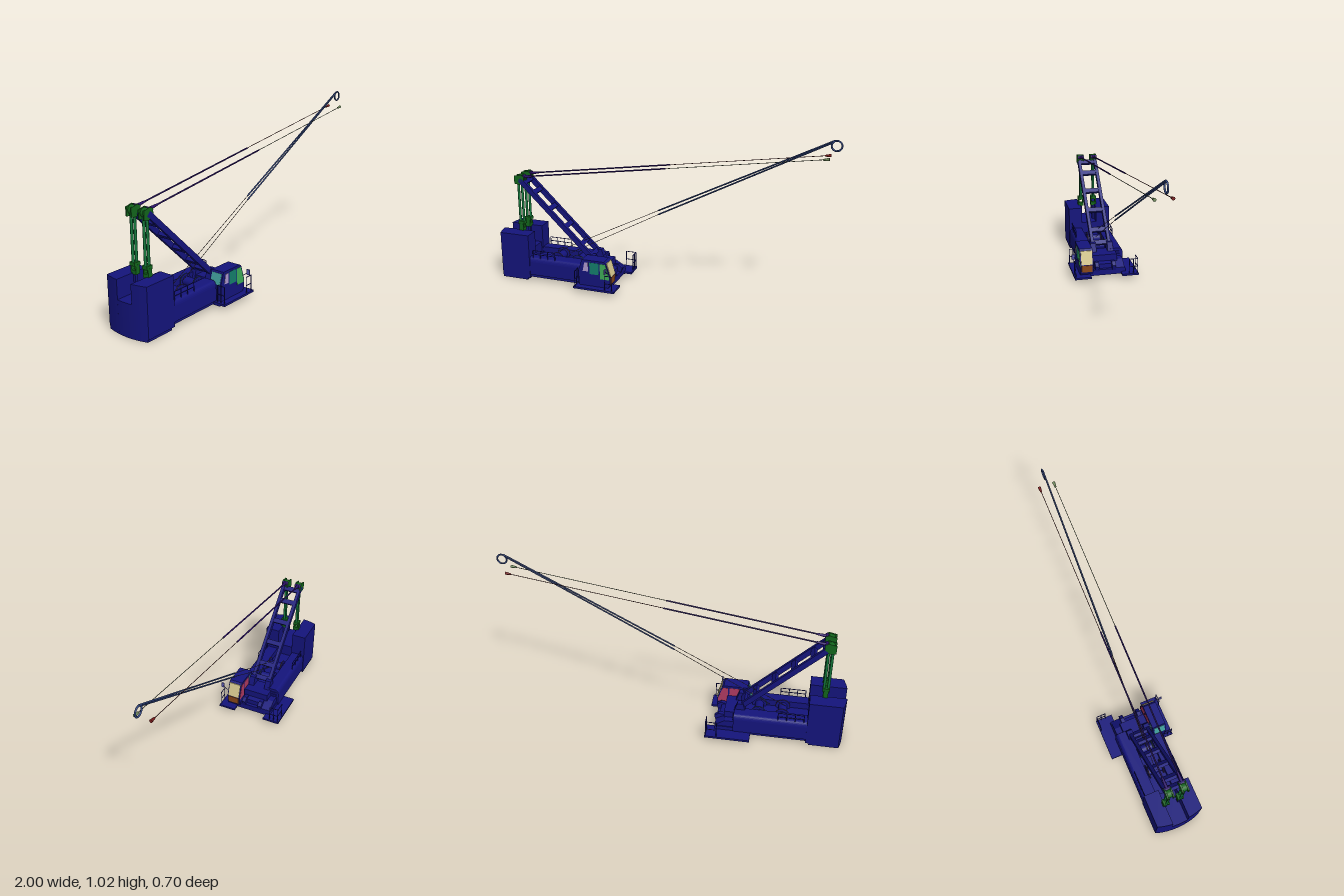
import * as THREE from 'three';

export function createModel() {
  const root = new THREE.Group();
  root.name = 'craneUpperworks';
  // Local frame: x runs forward along the machine, z across it.
  const m = new THREE.Group();
  m.name = 'slewedBody';
  m.rotation.y = THREE.MathUtils.degToRad(15);
  m.position.set(-0.05 * Math.sin(m.rotation.y), 0, -0.05 * Math.cos(m.rotation.y));
  root.add(m);

  const mats = {};
  const mat = (c) => (mats[c] ??= new THREE.MeshStandardMaterial({ color: c, flatShading: false, side: THREE.DoubleSide }));
  const NAVY = 0x14147c, GREEN = 0x12661c, POST = 0x147a3c, PURPLE = 0x2a0f6a, SLATE = 0x2f4580;
  const V = (x, y, z) => new THREE.Vector3(x, y, z);

  const add = (name, geo, color = NAVY) => {
    const mesh = new THREE.Mesh(geo, mat(color));
    mesh.name = name;
    m.add(mesh);
    return mesh;
  };
  // Box from its limits on each axis
  const box = (name, x0, x1, y0, y1, z0, z1, color) => {
    const b = add(name, new THREE.BoxGeometry(x1 - x0, y1 - y0, z1 - z0), color);
    b.position.set((x0 + x1) / 2, (y0 + y1) / 2, (z0 + z1) / 2);
    return b;
  };
  // Round rod between two points
  const rod = (name, a, b, r, color, r2 = r, sides = 8) => {
    const d = b.clone().sub(a);
    const c = add(name, new THREE.CylinderGeometry(r2, r, d.length(), sides), color);
    c.position.copy(a).add(b).multiplyScalar(0.5);
    c.quaternion.setFromUnitVectors(V(0, 1, 0), d.normalize());
    return c;
  };
  // Side profile (x, y) extruded across z0..z1
  const profile = (name, pts, z0, z1, color) => {
    const s = new THREE.Shape(pts.map((p) => new THREE.Vector2(...p)));
    const e = add(name, new THREE.ExtrudeGeometry(s, { depth: z1 - z0, bevelEnabled: false }), color);
    e.position.z = z0;
    return e;
  };
  // Guard rail: two end posts, a top rail and a middle rail
  const rail = (name, a, b, h, posts = 2) => {
    for (let i = 0; i < posts; i++) {
      const p = a.clone().lerp(b, i / (posts - 1));
      rod(name + 'Post', p, p.clone().setY(p.y + h), 0.0025);
    }
    for (const k of [0.5, 1]) rod(name + 'Bar', a.clone().setY(a.y + h * k), b.clone().setY(b.y + h * k), 0.0025);
  };

  // Counterweight: curved rear, low middle and two towers
  const rearX = (z) => -1.005 + 0.022 * (z / 0.138) ** 2;
  const weight = (name, z0, z1, y0, y1, front = -0.79) => {
    const pts = [[front, z0], [front, z1]];
    for (let i = 8; i >= 0; i--) {
      const z = z0 + ((z1 - z0) * i) / 8;
      pts.push([rearX(z), z]);
    }
    const s = new THREE.Shape(pts.map(([x, z]) => new THREE.Vector2(x, -z)));
    const e = add(name, new THREE.ExtrudeGeometry(s, { depth: y1 - y0, bevelEnabled: false }));
    e.rotation.x = -Math.PI / 2;
    e.position.y = y0;
  };
  weight('counterweightBase', -0.136, 0.136, 0, 0.03, -0.81);
  weight('counterweightMiddle', -0.06, 0.06, 0.03, 0.19, -0.8);
  for (const s of [-1, 1]) weight('counterweightTower', s < 0 ? -0.141 : 0.05, s < 0 ? -0.05 : 0.141, 0.015, 0.3);

  // Chassis and central deck
  box('chassis', -0.8, -0.25, 0.022, 0.06, -0.13, 0.13);
  profile('centreDeck', [[-0.8, 0.05], [-0.27, 0.05], [-0.27, 0.09], [-0.36, 0.115], [-0.8, 0.115]], -0.065, 0.065);
  box('frontBlock', -0.42, -0.3, 0.05, 0.14, -0.085, 0.075);

  // Machinery hoods with rounded outer top edges
  const hood = (side, x0, x1) => {
    const s = new THREE.Shape();
    s.moveTo(0.055, 0.04);
    s.lineTo(0.139, 0.04);
    s.lineTo(0.137, 0.125);
    s.quadraticCurveTo(0.134, 0.155, 0.115, 0.155);
    s.lineTo(0.055, 0.155);
    const g = new THREE.ExtrudeGeometry(s, { depth: x1 - x0, bevelEnabled: false, curveSegments: 6 });
    const h = add('machineryHood', g);
    h.rotation.y = side > 0 ? -Math.PI / 2 : Math.PI / 2;
    h.position.x = side > 0 ? x1 : x0;
  };
  hood(1, -0.8, -0.45);
  hood(-1, -0.8, -0.36);
  for (let i = 0; i < 4; i++) box('hoodLouvre', -0.361, -0.355, 0.075 + i * 0.018, 0.083 + i * 0.018, -0.125, -0.08);
  profile('frontRightSlope', [[-0.37, 0.05], [-0.25, 0.05], [-0.25, 0.065], [-0.31, 0.1], [-0.37, 0.1]], -0.125, -0.05);

  // Boom foot lugs
  for (const z of [-0.055, 0.055])
    profile('boomFootLug', [[-0.34, 0.05], [-0.25, 0.05], [-0.24, 0.085], [-0.265, 0.105], [-0.3, 0.1]], z - 0.012, z + 0.012);

  // Winch drums
  for (const [x, c] of [[-0.64, 0x6b4a2a], [-0.5, 0x3f6b3a]]) {
    rod('winchDrum', V(x, 0.13, -0.05), V(x, 0.13, 0.05), 0.026, NAVY, 0.026, 20);
    for (const z of [-0.045, 0.045]) {
      rod('drumFlange', V(x, 0.13, z - 0.003), V(x, 0.13, z + 0.003), 0.042, NAVY, 0.042, 24);
      add('drumRim', new THREE.TorusGeometry(0.042, 0.002, 6, 24), c).position.set(x, 0.13, z);
    }
  }

  // Deck railings behind the towers' front faces
  for (const z of [-0.125, 0.125]) rail('deckRail', V(-0.77, 0.15, z), V(-0.62, 0.15, z), 0.05, 4);

  // Walkways with guard rails
  for (const s of [-1, 1]) {
    box('walkway', -0.465, -0.2, 0.024, 0.036, s < 0 ? -0.207 : 0.1, s < 0 ? -0.1 : 0.207);
    box('walkwayBracket', -0.46, -0.25, 0.015, 0.03, s * 0.14 - 0.03, s * 0.14 + 0.03);
  }
  rail('rightEndRail', V(-0.205, 0.03, -0.145), V(-0.205, 0.03, -0.2), 0.105, 3);
  rail('rightSideRail', V(-0.205, 0.03, -0.2), V(-0.27, 0.03, -0.2), 0.105);
  rail('leftRearRail', V(-0.455, 0.03, 0.15), V(-0.455, 0.03, 0.2), 0.105, 3);
  rail('leftFrontRail', V(-0.215, 0.03, 0.2), V(-0.26, 0.03, 0.2), 0.1);

  // Operator cab
  const cab = [[-0.44, 0.036], [-0.25, 0.036], [-0.238, 0.055], [-0.236, 0.105], [-0.262, 0.192], [-0.275, 0.203], [-0.42, 0.203], [-0.445, 0.13]];
  profile('cabShell', cab, 0.082, 0.166);
  const sideGlass = [
    [[[-0.415, 0.13], [-0.38, 0.13], [-0.38, 0.187], [-0.403, 0.187]], 0xb09ad0, 0x6fb0b8],
    [[[-0.37, 0.115], [-0.31, 0.115], [-0.31, 0.19], [-0.37, 0.19]], 0x14806c, 0xb03a62],
    [[[-0.302, 0.09], [-0.243, 0.09], [-0.243, 0.11], [-0.268, 0.188], [-0.302, 0.188]], 0x3fae58, 0xb03a62],
  ];
  for (const [pts, left, right] of sideGlass) {
    profile('cabLeftWindow', pts, 0.165, 0.168, left);
    profile('cabRightWindow', pts, 0.08, 0.083, right);
  }
  profile('cabWindscreen', [[-0.24, 0.108], [-0.233, 0.108], [-0.258, 0.193], [-0.266, 0.193]], 0.088, 0.16, 0xd6c88e);
  profile('cabLowerWindow', [[-0.243, 0.057], [-0.235, 0.057], [-0.233, 0.102], [-0.24, 0.102]], 0.09, 0.158, 0x8c4a1a);
  profile('cabRearWindow', [[-0.446, 0.132], [-0.438, 0.132], [-0.418, 0.192], [-0.426, 0.192]], 0.09, 0.158, 0x3f9a98);
  rod('mirrorArm', V(-0.25, 0.13, 0.166), V(-0.25, 0.16, 0.208), 0.002);
  box('mirror', -0.256, -0.25, 0.145, 0.178, 0.198, 0.218, 0x5c5cb8);

  // Mast: two rails joined by cross members
  const foot = V(-0.395, 0.17, 0), head = V(-0.872, 0.635, 0);
  const slope = Math.atan2(head.y - foot.y, head.x - foot.x);
  const beam = (name, t, len, z, w, h) => {
    const b = add(name, new THREE.BoxGeometry(len, h, w));
    b.position.copy(foot).lerp(head, t).setZ(z);
    b.rotation.z = slope;
  };
  for (const z of [-0.055, 0.055]) {
    beam('mastRail', 0.5, foot.distanceTo(head), z, 0.02, 0.032);
    profile('mastFootLug', [[-0.43, 0.12], [-0.35, 0.12], [-0.375, 0.195], [-0.41, 0.195]], z - 0.018, z + 0.018);
  }
  for (const t of [0.03, 0.17, 0.39, 0.61, 0.82, 0.95]) beam('mastCrossMember', t, 0.03, 0, 0.11, 0.022);

  for (const s of [-1, 1]) {
    const z = s * 0.044;
    // Sheave head
    for (const k of [-1, 1])
      profile('headCheek', [[-0.905, 0.605], [-0.87, 0.6], [-0.84, 0.625], [-0.84, 0.655], [-0.86, 0.665], [-0.905, 0.655]], z + k * 0.017 - 0.004, z + k * 0.017 + 0.004, GREEN);
    rod('headSheave', V(-0.872, 0.635, z - 0.012), V(-0.872, 0.635, z + 0.012), 0.026, GREEN, 0.026, 18);
    rod('headPin', V(-0.85, 0.648, z - 0.02), V(-0.85, 0.648, z + 0.02), 0.012, PURPLE, 0.012, 12);
    // Back stay: twin bars with a forked foot
    for (const x of [-0.888, -0.864]) rod('backStayBar', V(x, 0.34, z), V(x, 0.62, z), 0.008, POST);
    box('stayForkTop', -0.896, -0.856, 0.34, 0.36, z - 0.018, z + 0.018, GREEN);
    for (const k of [-1, 1]) box('stayForkArm', -0.89, -0.862, 0.295, 0.345, z + k * 0.015 - 0.004, z + k * 0.015 + 0.004, GREEN);
    box('stayForkFoot', -0.89, -0.862, 0.293, 0.315, z - 0.018, z + 0.018, GREEN);
    box('stayAnchor', -0.885, -0.867, 0.18, 0.3, z - 0.007, z + 0.007);
    // Pendant: heavy rear bar, light rope and end socket
    const a = V(-0.845, 0.65, z), b = V(0.985, 0.92, z), mid = a.clone().lerp(b, 0.5);
    rod('pendantBar', a, mid, 0.0045, PURPLE);
    rod('pendantSocket', a, a.clone().lerp(b, 0.03), 0.01, PURPLE, 0.006);
    rod('pendantRope', mid, b, 0.0018, s > 0 ? 0x5a6650 : 0x4a1c20, 0.0018, 6);
    rod('pendantEnd', a.clone().lerp(b, 0.982), b, 0.005, s > 0 ? 0x6f8a5c : 0x7a1a1a, 0.009);
  }

  // Hoist lines rising from the drums to the end ring
  for (const [x0, y0, x1, y1, x2, y2] of [[-0.655, 0.165, 0.013, 0.51, 1.003, 1.014], [-0.565, 0.165, 0.013, 0.485, 0.985, 0.998]]) {
    rod('hoistRope', V(x0, y0, 0), V(x1, y1, 0), 0.0016, 0x4a3a38, 0.0016, 6);
    rod('hoistBar', V(x1, y1, 0), V(x2, y2, 0), 0.0045, SLATE);
  }
  add('endRing', new THREE.TorusGeometry(0.028, 0.005, 8, 28), SLATE).position.set(1.014, 0.985, 0);

  return root;
}
